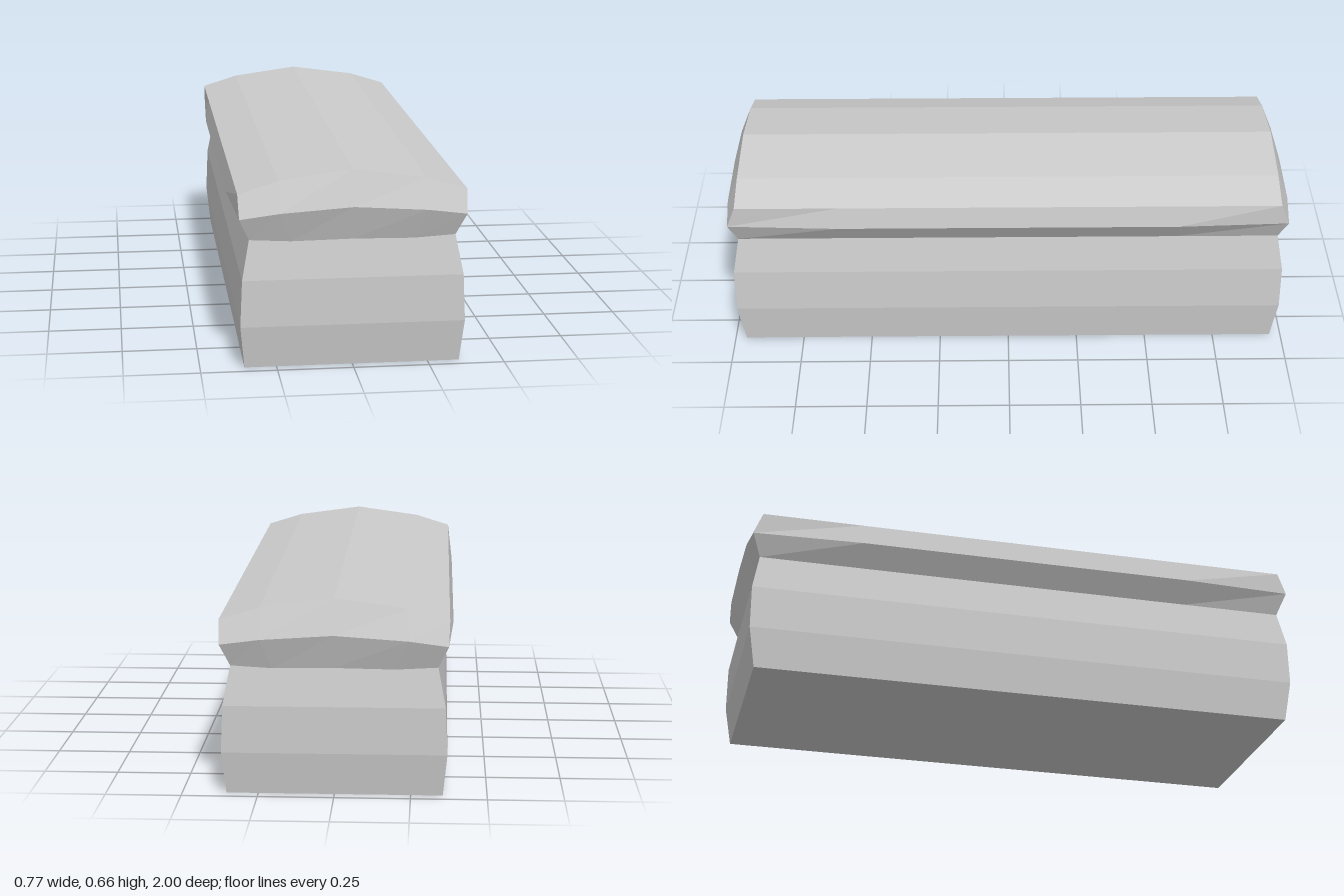
import * as THREE from 'three';

// Half outline heights are given at the corner, the quarter point and the middle of each end.
// Returns 14 points, counter-clockwise seen from above.
function ring({ x, z, y, sideX = x, endZ = z, q = 0.24 }) {
  const [yc, yq, ym] = Array.isArray(y) ? y : [y, y, y];
  const back = [[x, yc, -z], [q, yq, -endZ], [0, ym, -endZ], [-q, yq, -endZ], [-x, yc, -z]];
  const front = back.map(([a, b, c]) => [-a, b, -c]);
  return [
    [sideX, yc, 0.6], [sideX, yc, -0.6], ...back,
    [-sideX, yc, -0.6], [-sideX, yc, 0.6], ...front,
  ];
}

// Skins stacked rings, with optional end faces made of lengthwise strips
function skin(name, rings, { top = false, bottom = false }) {
  const pos = [];
  const quad = (a, b, c, d) => pos.push(...a, ...b, ...c, ...a, ...c, ...d);
  for (let i = 0; i < rings.length - 1; i++) {
    const lo = rings[i], hi = rings[i + 1];
    for (let j = 0; j < lo.length; j++) {
      const k = (j + 1) % lo.length;
      quad(lo[j], lo[k], hi[k], hi[j]);
    }
  }
  for (let i = 0; i < 4; i++) {
    const strip = (r) => [r[13 - i], r[2 + i], r[3 + i], r[12 - i]];
    if (top) quad(...strip(rings[rings.length - 1]));
    if (bottom) quad(...strip(rings[0]).reverse());
  }
  const geometry = new THREE.BufferGeometry();
  geometry.setAttribute('position', new THREE.Float32BufferAttribute(pos, 3));
  geometry.computeVertexNormals();
  const mesh = new THREE.Mesh(geometry, new THREE.MeshStandardMaterial({ color: 0xcccccc, flatShading: true }));
  mesh.name = name;
  return mesh;
}

export function createModel() {
  const group = new THREE.Group();
  group.name = 'chest';
  const neck = ring({ x: 0.337, z: 0.96, y: [0.43, 0.422, 0.425], q: 0.2 });

  // Bulging body, narrowing to the neck
  group.add(skin('body', [
    ring({ x: 0.355, z: 0.96, y: 0 }),
    ring({ x: 0.369, z: 0.983, y: 0.143 }),
    ring({ x: 0.362, z: 0.983, y: 0.3 }),
    neck,
  ], { bottom: true }));

  // Overhanging lid with a crowned top
  group.add(skin('lid', [
    neck,
    ring({ x: 0.37, sideX: 0.387, z: 0.99, endZ: 1, y: [0.505, 0.524, 0.54] }),
    ring({ x: 0.373, z: 0.96, y: [0.582, 0.623, 0.656] }),
  ], { top: true }));
  return group;
}
